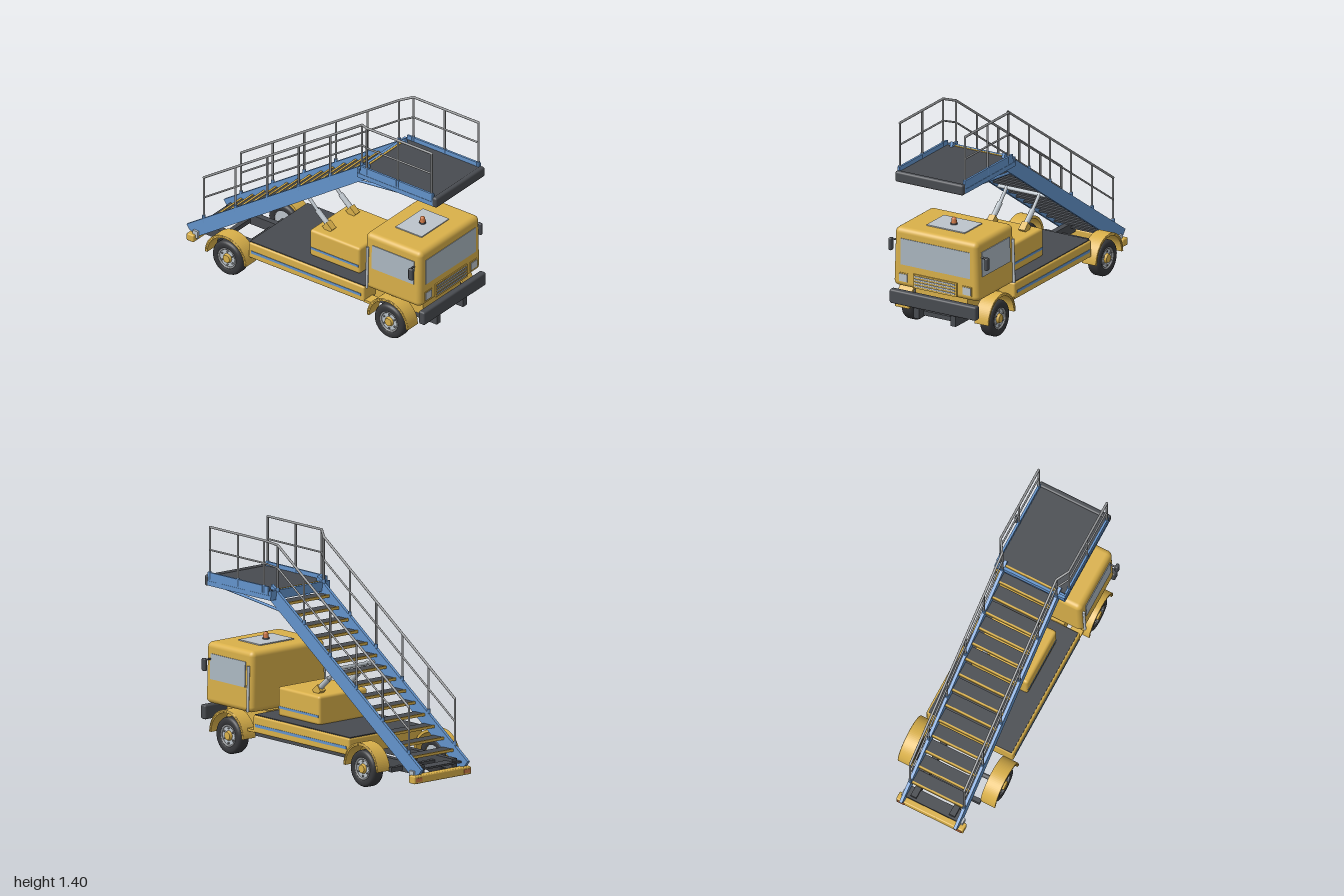
import * as THREE from 'three';
import { RoundedBoxGeometry } from 'three/addons/geometries/RoundedBoxGeometry.js';

const mat = (name, color) => new THREE.MeshStandardMaterial({ name, color });

export function createModel() {
  const root = new THREE.Group();
  root.name = 'stairTruck';
  const yellow = mat('yellow paint', 0xd9b04a), blue = mat('blue paint', 0x6393cb);
  const dark = mat('dark grey', 0x484b50), tyreMat = mat('tyre rubber', 0x36373a);
  const glass = mat('window glass', 0xaab6c0), steel = mat('rail steel', 0x929496);
  const pale = mat('pale metal', 0xbcc4cb), lamp = mat('orange lamp', 0xd27a48);

  const add = (name, geo, m, x = 0, y = 0, z = 0, parent = root) => {
    const mesh = new THREE.Mesh(geo, m);
    mesh.name = name;
    mesh.position.set(x, y, z);
    parent.add(mesh);
    return mesh;
  };
  // Box from its y and z limits, centred on x; r rounds the edges
  const block = (name, m, x, w, y0, y1, z0, z1, r = 0) => add(name,
    r ? new RoundedBoxGeometry(w, y1 - y0, z1 - z0, 3, r) : new THREE.BoxGeometry(w, y1 - y0, z1 - z0),
    m, x, (y0 + y1) / 2, (z0 + z1) / 2);
  // Round bar between two points
  const bar = (name, m, a, b, r) => {
    const p = new THREE.Vector3(...a), q = new THREE.Vector3(...b);
    const mesh = add(name, new THREE.CylinderGeometry(r, r, p.distanceTo(q), 10), m);
    mesh.position.copy(p).add(q).multiplyScalar(0.5);
    mesh.quaternion.setFromUnitVectors(new THREE.Vector3(0, 1, 0), q.sub(p).normalize());
    return mesh;
  };
  // Side-profile plate: shape drawn in (z, y), thickness along x
  const profile = (shape, w) => new THREE.ExtrudeGeometry(shape, { depth: w, bevelEnabled: false, curveSegments: 24 })
    .translate(0, 0, -w / 2).rotateY(-Math.PI / 2);
  const sides = [-1, 1];

  // Chassis
  for (const s of sides) block('chassisRail', dark, s * 0.135, 0.04, 0.107, 0.175, -0.93, 0.92);
  for (const z of [0.86, 0.3, -0.2, -0.755]) block('crossMember', dark, 0, z < -0.7 ? 0.49 : 0.27, 0.115, 0.145, z - 0.015, z + 0.015);
  block('body', yellow, 0, 0.61, 0.173, 0.283, -0.435, 0.475, 0.012);
  block('deckPlate', dark, 0, 0.585, 0.281, 0.288, -0.428, 0.468);
  block('cabMount', yellow, 0, 0.38, 0.165, 0.295, 0.47, 0.85);
  for (const s of sides) {
    block('bodyStripe', blue, s * 0.305, 0.006, 0.212, 0.23, -0.41, 0.45);
    block('bodyStep', yellow, s * 0.26, 0.08, 0.173, 0.19, 0.47, 0.53);
  }

  // Wheels, axles and mudguards
  const tyreGeo = new THREE.LatheGeometry([[0.068, -0.036], [0.08, -0.043], [0.1, -0.043], [0.111, -0.037], [0.117, -0.025],
    [0.117, 0.025], [0.111, 0.037], [0.1, 0.043], [0.08, 0.043], [0.068, 0.036]].map(p => new THREE.Vector2(...p)), 36);
  const arch = new THREE.Shape();
  arch.absarc(0, 0, 0.162, 0, Math.PI, false);
  arch.absarc(0, 0, 0.144, Math.PI, 0, true);
  arch.closePath();
  const archGeo = profile(arch, 0.1);
  const flangeGeo = new THREE.TorusGeometry(0.157, 0.006, 6, 28, Math.PI).rotateY(Math.PI / 2);
  for (const z of [0.685, -0.585]) {
    bar('axle', dark, [-0.25, 0.123, z], [0.25, 0.123, z], 0.016);
    for (const s of sides) {
      const wheel = new THREE.Group();
      wheel.name = 'wheel';
      wheel.position.set(s * 0.288, 0.12, z);
      wheel.rotation.z = -s * Math.PI / 2;
      root.add(wheel);
      add('tyre', tyreGeo, tyreMat, 0, 0, 0, wheel);
      add('rim', new THREE.CylinderGeometry(0.07, 0.07, 0.06, 28), pale, 0, 0, 0, wheel);
      add('rimRing', new THREE.TorusGeometry(0.066, 0.007, 8, 28).rotateX(Math.PI / 2), steel, 0, 0.033, 0, wheel);
      add('hubCap', new THREE.CylinderGeometry(0.026, 0.034, 0.022, 16), yellow, 0, 0.036, 0, wheel);
      for (let i = 0; i < 6; i++) {
        const a = i * Math.PI / 3;
        add('wheelNut', new THREE.CylinderGeometry(0.006, 0.006, 0.01, 6), steel, 0.047 * Math.cos(a), 0.033, 0.047 * Math.sin(a), wheel);
      }
      add('mudguard', archGeo, yellow, s * 0.29, 0.123, z);
      add('mudguardLip', flangeGeo, yellow, s * 0.337, 0.123, z);
    }
  }

  // Cab, narrowing slightly towards the roof
  const cabGeo = new RoundedBoxGeometry(0.63, 0.39, 0.44, 5, 0.035);
  const p = cabGeo.attributes.position;
  for (let i = 0; i < p.count; i++) p.setX(i, p.getX(i) * (1 - 0.04 * (p.getY(i) + 0.195) / 0.39));
  add('cab', cabGeo, yellow, 0, 0.487, 0.7);
  block('windscreen', glass, 0, 0.51, 0.442, 0.615, 0.917, 0.924);
  block('roofPanel', pale, 0, 0.28, 0.68, 0.689, 0.595, 0.8);
  add('beaconBase', new THREE.CylinderGeometry(0.022, 0.022, 0.012, 16), dark, 0, 0.692, 0.7);
  add('beacon', new THREE.CylinderGeometry(0.016, 0.019, 0.025, 16), lamp, 0, 0.708, 0.7);
  add('beaconDome', new THREE.SphereGeometry(0.016, 16, 6, 0, Math.PI * 2, 0, Math.PI / 2), lamp, 0, 0.72, 0.7);
  block('grillePanel', yellow, 0, 0.32, 0.305, 0.397, 0.917, 0.928);
  for (let i = 0; i < 4; i++) {
    const y = 0.322 + i * 0.02;
    block('grilleSlot', dark, 0, 0.3, y - 0.006, y + 0.006, 0.926, 0.929);
    block('grilleSlat', pale, 0, 0.298, y - 0.003, y + 0.005, 0.926, 0.933);
  }
  block('bumper', dark, 0, 0.635, 0.183, 0.275, 0.91, 0.957, 0.012);
  for (const s of sides) {
    block('bumperBracket', dark, s * 0.135, 0.04, 0.107, 0.2, 0.88, 0.93);
    block('headlightFrame', yellow, s * 0.232, 0.072, 0.325, 0.388, 0.915, 0.924);
    block('headlight', pale, s * 0.232, 0.06, 0.332, 0.382, 0.92, 0.928);
    const pane = block('sideWindow', glass, s * 0.3085, 0.008, 0.45, 0.612, 0.54, 0.87);
    pane.rotation.z = s * 0.032;
    bar('cabHandle', pale, [s * 0.32, 0.3, 0.507], [s * 0.312, 0.59, 0.507], 0.009);
    bar('mirrorArm', dark, [s * 0.3, 0.578, 0.87], [s * 0.352, 0.578, 0.87], 0.006);
    block('mirror', dark, s * 0.352, 0.024, 0.505, 0.587, 0.862, 0.896, 0.009);
  }

  // Equipment box and lifting rams
  block('equipmentBox', yellow, 0, 0.4, 0.284, 0.47, -0.035, 0.36, 0.018);
  for (const s of sides) {
    block('boxStripe', blue, s * 0.2, 0.006, 0.333, 0.348, -0.025, 0.35);
    const foot = block('ramFoot', yellow, s * 0.12, 0.045, 0.455, 0.515, 0.035, 0.085);
    foot.rotation.x = -0.85;
    bar('ramCylinder', pale, [s * 0.12, 0.47, 0.085], [s * 0.12, 0.575, -0.035], 0.018);
    bar('ramRod', pale, [s * 0.12, 0.55, -0.01], [s * 0.12, 0.66, -0.12], 0.011);
  }
  bar('ramCrossTube', pale, [-0.185, 0.65, -0.115], [0.185, 0.65, -0.115], 0.012);

  // Stair flight
  const stringer = new THREE.Shape([[0.45, 1.02], [0.42, 1.11], [-1, 0.16], [-0.975, 0.128], [-0.905, 0.107]]
    .map(q => new THREE.Vector2(...q)));
  const stringerGeo = profile(stringer, 0.02);
  for (const s of sides) add('stringer', stringerGeo, blue, s * 0.19);
  for (let i = 0; i < 14; i++) {
    const z = -0.86 + i * 0.09, y = 0.211 + i * 0.0607;
    block('tread', dark, 0, 0.362, y - 0.006, y + 0.006, z, z + 0.09);
    block('treadNosing', yellow, 0, 0.362, y - 0.008, y + 0.009, z - 0.007, z + 0.006);
  }
  block('bottomTread', dark, 0, 0.362, 0.144, 0.156, -0.945, -0.865);
  block('rearBar', yellow, 0, 0.47, 0.07, 0.12, -0.975, -0.918, 0.008);
  for (const s of sides) {
    block('tailLight', lamp, s * 0.2, 0.05, 0.083, 0.107, -0.979, -0.97);
    block('rearBarClip', pale, s * 0.207, 0.015, 0.095, 0.145, -0.94, -0.9);
  }

  // Upper platform
  block('platformFrame', blue, 0, 0.484, 1.02, 1.07, 0.375, 0.97);
  block('platformDeck', dark, 0, 0.46, 1.068, 1.078, 0.405, 0.97);
  block('platformNosing', yellow, 0, 0.362, 1.064, 1.081, 0.393, 0.406);
  block('platformBeam', blue, 0, 0.49, 1.04, 1.08, 0.372, 0.39);
  block('platformBuffer', dark, 0, 0.5, 1.015, 1.085, 0.962, 1, 0.014);
  for (const s of sides) {
    block('toeBoard', blue, s * 0.239, 0.014, 1.05, 1.105, 0.4, 0.97);
    block('platformEdge', blue, s * 0.242, 0.012, 1.02, 1.05, 0.375, 0.97);
    bar('platformBrace', blue, [s * 0.19, 1.017, 0.93], [s * 0.19, 0.955, 0.34], 0.009);
  }

  // Handrails: platform run, joining bend, stair run
  const slope = 0.667;
  for (const s of sides) {
    const run = drop => [[s * 0.239, 1.393 - drop, 0.955], [s * 0.239, 1.393 - drop, 0.445],
      [s * 0.19, 1.367 - drop, 0.37], [s * 0.19, 1.367 - drop - slope * 1.24, -0.87]];
    for (const drop of [0, 0.145]) {
      const pts = run(drop);
      for (let i = 0; i < 3; i++) bar(drop ? 'midRail' : 'topRail', steel, pts[i], pts[i + 1], drop ? 0.006 : 0.008);
      for (const q of pts) add('railJoint', new THREE.SphereGeometry(drop ? 0.006 : 0.008, 10, 8), steel, ...q);
    }
    for (const z of [0.955, 0.69, 0.445]) {
      bar('platformPost', steel, [s * 0.239, 1.08, z], [s * 0.239, 1.393, z], 0.007);
      bar('postSocket', blue, [s * 0.239, 1.06, z], [s * 0.239, 1.11, z], 0.011);
    }
    for (let i = 0; i < 6; i++) {
      const z = 0.37 - i * 0.248, foot = 1.11 - 0.669 * (0.42 - z);
      bar('stairPost', steel, [s * 0.19, foot - 0.03, z], [s * 0.19, 1.367 - slope * (0.37 - z), z], 0.007);
      bar('postSocket', blue, [s * 0.19, foot - 0.03, z], [s * 0.19, foot + 0.02, z], 0.011);
    }
  }
  return root;
}
